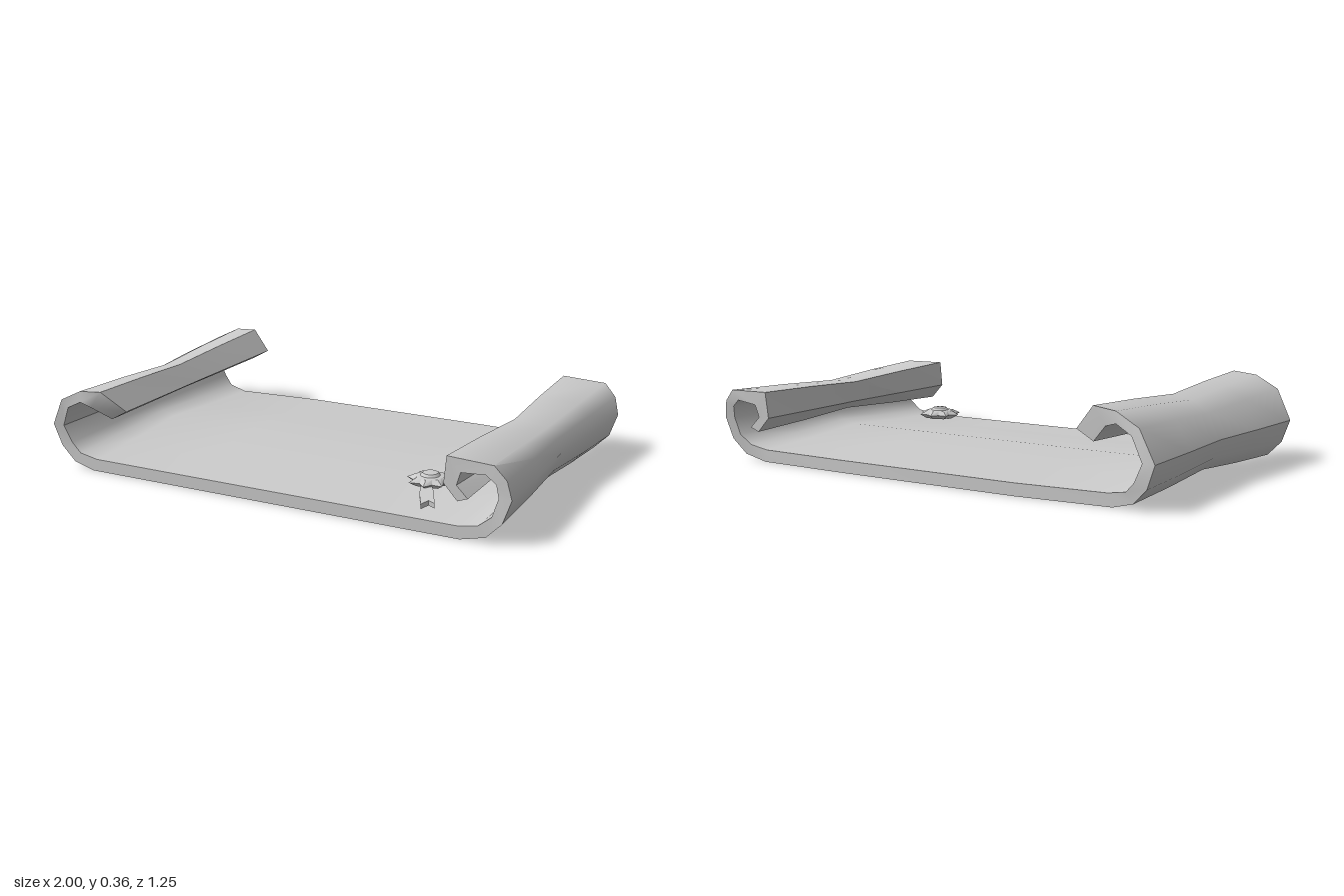
import * as THREE from 'three';
import { toCreasedNormals } from 'three/addons/utils/BufferGeometryUtils.js';

const material = new THREE.MeshStandardMaterial({ color: 0xcccccc });

// Skins a grid of closed rings; optional caps are lists of quads on a ring
function skin(rings, extraFaces, crease) {
  const n = rings[0].length;
  const index = [];
  const quad = (a, b, c, d) => index.push(a, b, c, a, c, d);
  for (let s = 0; s < rings.length - 1; s++) {
    for (let i = 0; i < n; i++) {
      const j = (i + 1) % n;
      quad(s * n + i, s * n + j, (s + 1) * n + j, (s + 1) * n + i);
    }
  }
  extraFaces(quad, n, (rings.length - 1) * n);
  const geometry = new THREE.BufferGeometry();
  geometry.setAttribute('position', new THREE.Float32BufferAttribute(rings.flat(2), 3));
  geometry.setIndex(index);
  return toCreasedNormals(geometry, crease);
}

function part(name, geometry) {
  const mesh = new THREE.Mesh(geometry, material);
  mesh.name = name;
  return mesh;
}

// Sheet section from left flap to right flap:
// outer x, outer y, inner x, inner y, front z, back z
const SECTION = [
  [-0.66, 0.27, -0.73, 0.23, 0.55, -0.52],
  [-0.73, 0.36, -0.78, 0.29, 0.62, -0.525],
  [-0.83, 0.35, -0.83, 0.305, 0.62, -0.54],
  [-0.93, 0.30, -0.90, 0.27, 0.61, -0.555],
  [-1.00, 0.18, -0.95, 0.18, 0.58, -0.57],
  [-0.97, 0.09, -0.92, 0.11, 0.57, -0.57],
  [-0.91, 0.03, -0.88, 0.07, 0.57, -0.555],
  [-0.82, 0.005, -0.80, 0.055, 0.57, -0.54],
  [-0.40, 0.005, -0.40, 0.055, 0.57, -0.57],
  [0.40, 0.005, 0.40, 0.055, 0.57, -0.57],
  [0.81, 0.005, 0.80, 0.055, 0.57, -0.56],
  [0.91, 0.03, 0.88, 0.07, 0.57, -0.565],
  [0.97, 0.09, 0.93, 0.11, 0.57, -0.575],
  [1.00, 0.18, 0.95, 0.18, 0.56, -0.585],
  [0.98, 0.25, 0.94, 0.23, 0.56, -0.60],
  [0.93, 0.30, 0.90, 0.26, 0.56, -0.615],
  [0.745, 0.305, 0.80, 0.25, 0.55, -0.625],
  [0.735, 0.20, 0.785, 0.20, 0.55, -0.62],
  [0.79, 0.14, 0.83, 0.155, 0.55, -0.62],
];

// Parchment, pinched at its middle and skewed slightly along the rolls
function parchmentGeometry() {
  const rings = [-1, -0.5, 0, 0.5, 1].map((t) => {
    const pinch = 0.032 * Math.pow(1 - Math.abs(t), 1.3);
    const place = (x, y, front, back) => {
      const z = THREE.MathUtils.lerp(back, front, (t + 1) / 2);
      const side = Math.sign(x);
      let dx = 0, dy = pinch;
      if (Math.abs(x) > 0.6) {
        const toCentre = new THREE.Vector2(side * 0.84 - x, 0.185 - y).setLength(pinch);
        dx = toCentre.x - side * 0.015 * (1 + side * t);
        dy = toCentre.y;
      }
      return [x + dx, y + dy, z];
    };
    const outer = SECTION.map(([x, y, , , f, b]) => place(x, y, f, b));
    const inner = SECTION.map(([, , x, y, f, b]) => place(x, y, f, b));
    return [...outer, ...inner.reverse()];
  });
  const ends = (quad, n, last) => {
    for (let i = 0; i < SECTION.length - 1; i++) {
      const k = n - 1 - i;
      quad(last + i, last + i + 1, last + k - 1, last + k);
      quad(i, k, k - 1, i + 1);
    }
  };
  return skin(rings, ends, 0.75);
}

// Eight-pointed rosette built from stacked star rings
function rosetteGeometry() {
  const levels = [
    [0, 0, 0], [0.06, 0.048, 0], [0.092, 0.065, 0.018],
    [0.06, 0.052, 0.034], [0.038, 0.038, 0.036], [0.03, 0.03, 0.046], [0, 0, 0.05],
  ];
  const rings = levels.map(([tip, notch, y]) => Array.from({ length: 16 }, (_, i) => {
    const a = -i * Math.PI / 8;
    const r = i % 2 ? notch : tip;
    return [r * Math.cos(a), y, r * Math.sin(a)];
  }));
  return skin(rings, () => {}, 0.5);
}

// Fork-ended ribbon tail, lying flat
function ribbonGeometry() {
  const shape = new THREE.Shape();
  [[-0.025, 0.03], [0.02, 0.03], [0.055, 0.09], [0.095, 0.175], [0.064, 0.16], [0.05, 0.198],
    [0.01, 0.12]].forEach(([x, z], i) => (i ? shape.lineTo(x, -z) : shape.moveTo(x, -z)));
  shape.closePath();
  const geometry = new THREE.ExtrudeGeometry(shape, { depth: 0.02, bevelEnabled: false });
  return geometry.rotateX(-Math.PI / 2);
}

export function createModel() {
  const model = new THREE.Group();
  model.name = 'scroll';
  model.add(part('parchment', parchmentGeometry()));

  const seal = new THREE.Group();
  seal.name = 'seal';
  const rosette = part('rosette', rosetteGeometry());
  rosette.position.y = 0.018;
  rosette.rotation.y = 0.12;
  const ribbon = part('ribbonTail', ribbonGeometry());
  ribbon.position.y = 0.012;
  ribbon.rotation.x = 0.1;
  seal.add(rosette, ribbon);
  seal.position.set(0.55, 0.075, 0.31);
  model.add(seal);
  return model;
}
